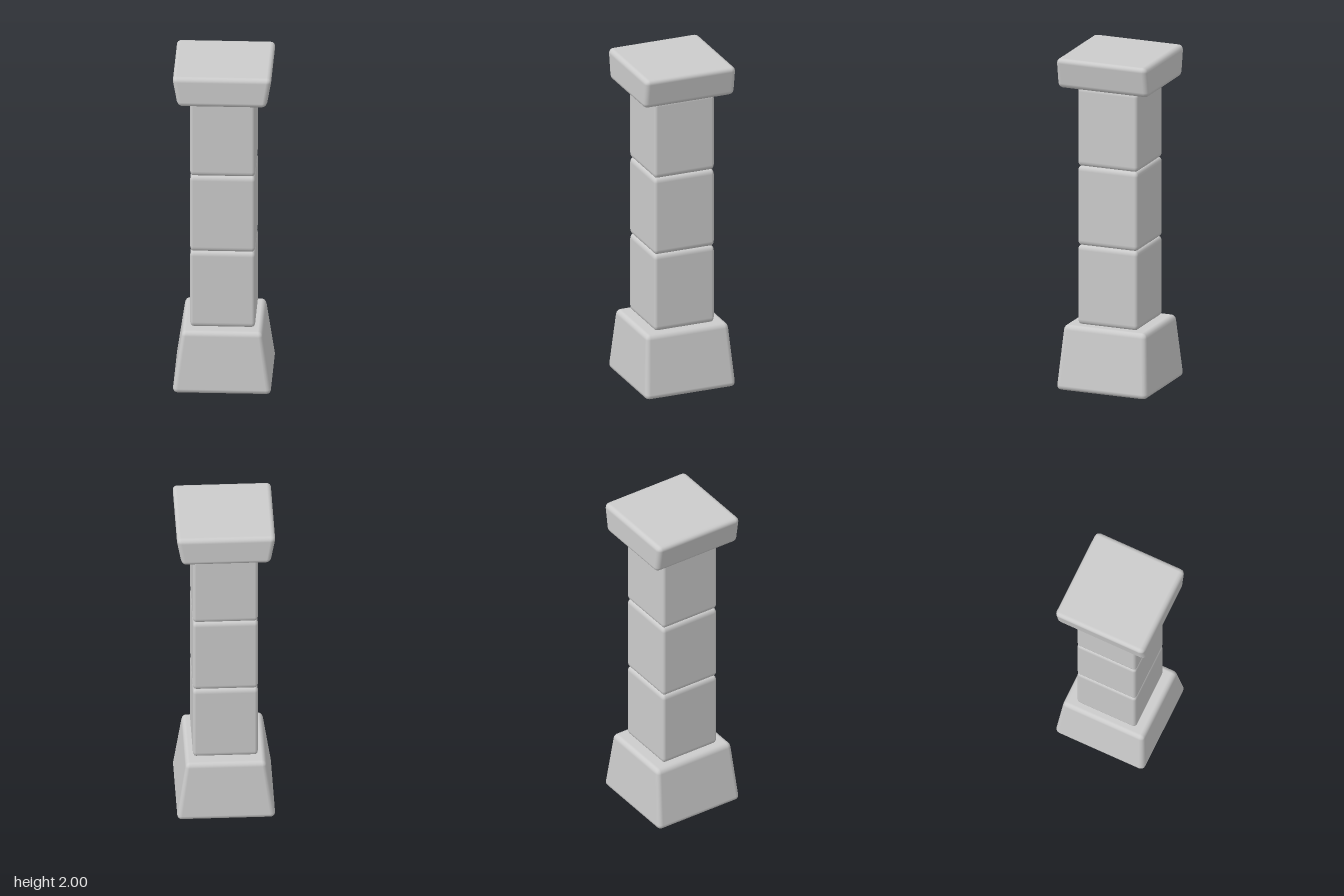
import * as THREE from 'three';
import { RoundedBoxGeometry } from 'three/addons/geometries/RoundedBoxGeometry.js';

const material = new THREE.MeshStandardMaterial({ color: 0xcccccc });

// Rounded block from y0 to y1; bottom and top are [half width x, half depth z]
function block(name, y0, y1, bottom, top, radius) {
  const h = y1 - y0;
  const geo = new RoundedBoxGeometry(0.57, h, 0.57, 2, radius);
  const pos = geo.attributes.position;
  const nor = geo.attributes.normal;
  const slope = [0, 1].map((k) => (top[k] - bottom[k]) / 0.285 / h);
  const n = new THREE.Vector3();
  for (let i = 0; i < pos.count; i++) {
    const x = pos.getX(i), y = pos.getY(i), z = pos.getZ(i);
    const [sx, sz] = [0, 1].map((k) => bottom[k] / 0.285 + slope[k] * (y + h / 2));
    // taper the position and tilt the normal to match
    n.fromBufferAttribute(nor, i);
    n.set(n.x / sx, n.y - (n.x * x * slope[0]) / sx - (n.z * z * slope[1]) / sz, n.z / sz).normalize();
    pos.setXYZ(i, x * sx, y, z * sz);
    nor.setXYZ(i, n.x, n.y, n.z);
  }
  const mesh = new THREE.Mesh(geo, material);
  mesh.name = name;
  mesh.position.y = (y0 + y1) / 2;
  return mesh;
}

export function createModel() {
  const pillar = new THREE.Group();
  pillar.name = 'pillar';

  // Tapered foot
  pillar.add(block('base', 0, 0.383, [0.288, 0.286], [0.232, 0.258], 0.03));

  // Three stacked shaft blocks
  const start = 0.383, step = 0.4773;
  for (let i = 0; i < 3; i++) {
    const y = start + i * step;
    pillar.add(block(`shaftBlock${i + 1}`, y, y + step, [0.189, 0.189], [0.189, 0.189], 0.03));
  }

  // Capital, flaring outwards along x only
  pillar.add(block('capital', 1.815, 2, [0.257, 0.285], [0.29, 0.285], 0.03));
  return pillar;
}
